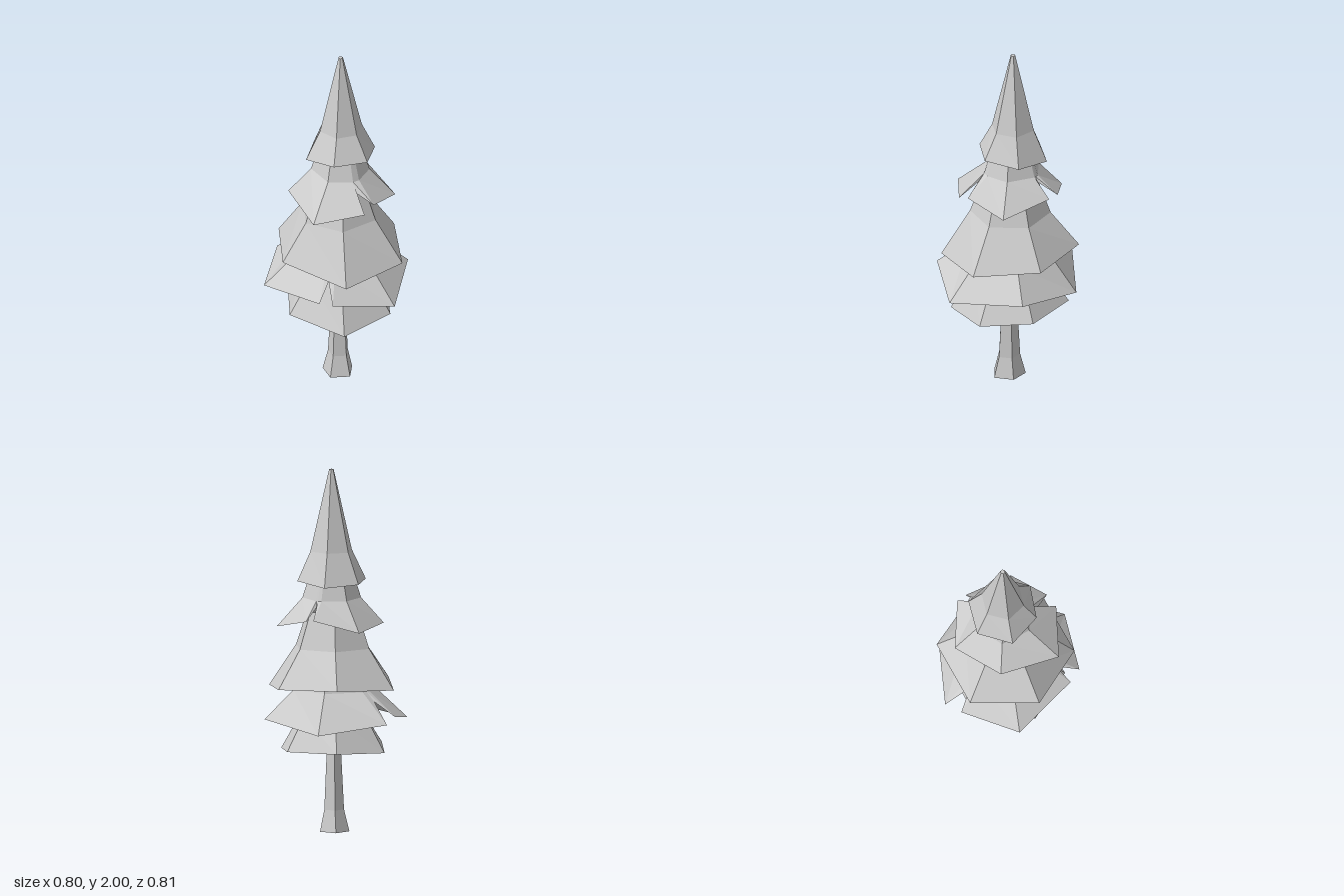
import * as THREE from 'three';

// Skins a stack of rings (lowest first, each a list of [x, y, z]) with flat facets
function loft(name, rings, { capTop = false, capBottom = false, side = THREE.FrontSide } = {}) {
  const n = rings[0].length;
  const index = [];
  for (let r = 0; r < rings.length - 1; r++) {
    for (let i = 0; i < n; i++) {
      const j = (i + 1) % n;
      const a = r * n + i, b = r * n + j, c = a + n, d = b + n;
      index.push(a, c, d, a, d, b);
    }
  }
  const last = (rings.length - 1) * n;
  for (let i = 1; i < n - 1; i++) {
    if (capBottom) index.push(0, i, i + 1);
    if (capTop) index.push(last, last + i + 1, last + i);
  }
  const indexed = new THREE.BufferGeometry();
  indexed.setAttribute('position', new THREE.Float32BufferAttribute(rings.flat(2), 3));
  indexed.setIndex(index);
  const geometry = indexed.toNonIndexed();
  geometry.computeVertexNormals();
  const material = new THREE.MeshStandardMaterial({ color: 0xcccccc, flatShading: true, side });
  const mesh = new THREE.Mesh(geometry, material);
  mesh.name = name;
  return mesh;
}

// Ring of given radius and height whose corners face the same way as the rim's
function ringAlong(rim, [cx, cz], radius, y) {
  return rim.map(([x, , z]) => {
    const a = Math.atan2(z - cz, x - cx);
    return [cx + radius * Math.cos(a), y, cz + radius * Math.sin(a)];
  });
}

// Each tier: uneven rim [x, y, z], then [radius, height] of the crease and the top.
// Where a rim steps inwards and up, the skirt is split by a notch.
const TIERS = [
  {
    name: 'lowestBranches', centre: [0.01, 0], crease: [0.19, 0.65], top: [0.13, 0.78],
    rim: [[-0.17, 0.45, -0.25], [0.15, 0.47, -0.29], [0.31, 0.46, -0.02],
      [0.2, 0.44, 0.25], [-0.11, 0.41, 0.3], [-0.31, 0.465, 0.04]],
  },
  {
    name: 'lowerBranches', centre: [0.01, 0], crease: [0.23, 0.79], top: [0.16, 0.95],
    rim: [[-0.1, 0.63, -0.405], [0.265, 0.58, -0.29], [0.4, 0.635, 0.075], [0.145, 0.59, 0.405],
      [-0.205, 0.66, 0.345], [-0.165, 0.74, 0.22], [-0.25, 0.65, 0.275],
      [-0.4, 0.61, -0.09], [-0.185, 0.66, -0.345], [-0.1, 0.74, -0.26]],
  },
  {
    name: 'middleBranches', centre: [0.015, 0], crease: [0.22, 1.02], top: [0.15, 1.22],
    rim: [[-0.2, 0.8, -0.3], [0.175, 0.825, -0.34], [0.375, 0.81, -0.04],
      [0.245, 0.785, 0.305], [-0.125, 0.75, 0.35], [-0.355, 0.82, 0.045]],
  },
  {
    name: 'upperBranches', centre: [0.025, -0.005], crease: [0.16, 1.29], top: [0.11, 1.45],
    rim: [[0.015, 1.13, -0.3], [0.24, 1.2, -0.19], [0.17, 1.26, -0.1], [0.255, 1.19, -0.135],
      [0.285, 1.13, 0.145], [0.085, 1.19, 0.275], [0.02, 1.24, 0.19], [0.015, 1.16, 0.3],
      [-0.25, 1.12, 0.205], [-0.23, 1.15, -0.13]],
  },
  {
    name: 'treetop', centre: [0.03, -0.01], crease: [0.12, 1.55], top: [0.013, 2], capTop: true,
    rim: [[-0.04, 1.38, -0.19], [0.155, 1.37, -0.16], [0.22, 1.39, 0.03],
      [0.095, 1.41, 0.18], [-0.09, 1.41, 0.14], [-0.17, 1.385, -0.035]],
  },
];

export function createModel() {
  const tree = new THREE.Group();
  tree.name = 'tree';

  // Five-sided trunk flaring at the foot
  const foot = [[0.04, 0, -0.08], [0.09, 0, 0.01], [0.03, 0, 0.1], [-0.07, 0, 0.06], [-0.06, 0, -0.05]];
  const section = (scale, y) => foot.map(([x, , z]) => [0.01 + (x - 0.01) * scale, y, 0.007 + (z - 0.007) * scale]);
  tree.add(loft('trunk', [foot, section(0.67, 0.12), section(0.5, 0.42), section(0.4, 0.7)],
    { capTop: true, capBottom: true }));

  // Hollow skirts of foliage
  for (const { name, centre, crease, top, rim, capTop } of TIERS) {
    const rings = [rim, ringAlong(rim, centre, ...crease), ringAlong(rim, centre, ...top)];
    tree.add(loft(name, rings, { capTop, side: THREE.DoubleSide }));
  }
  return tree;
}
